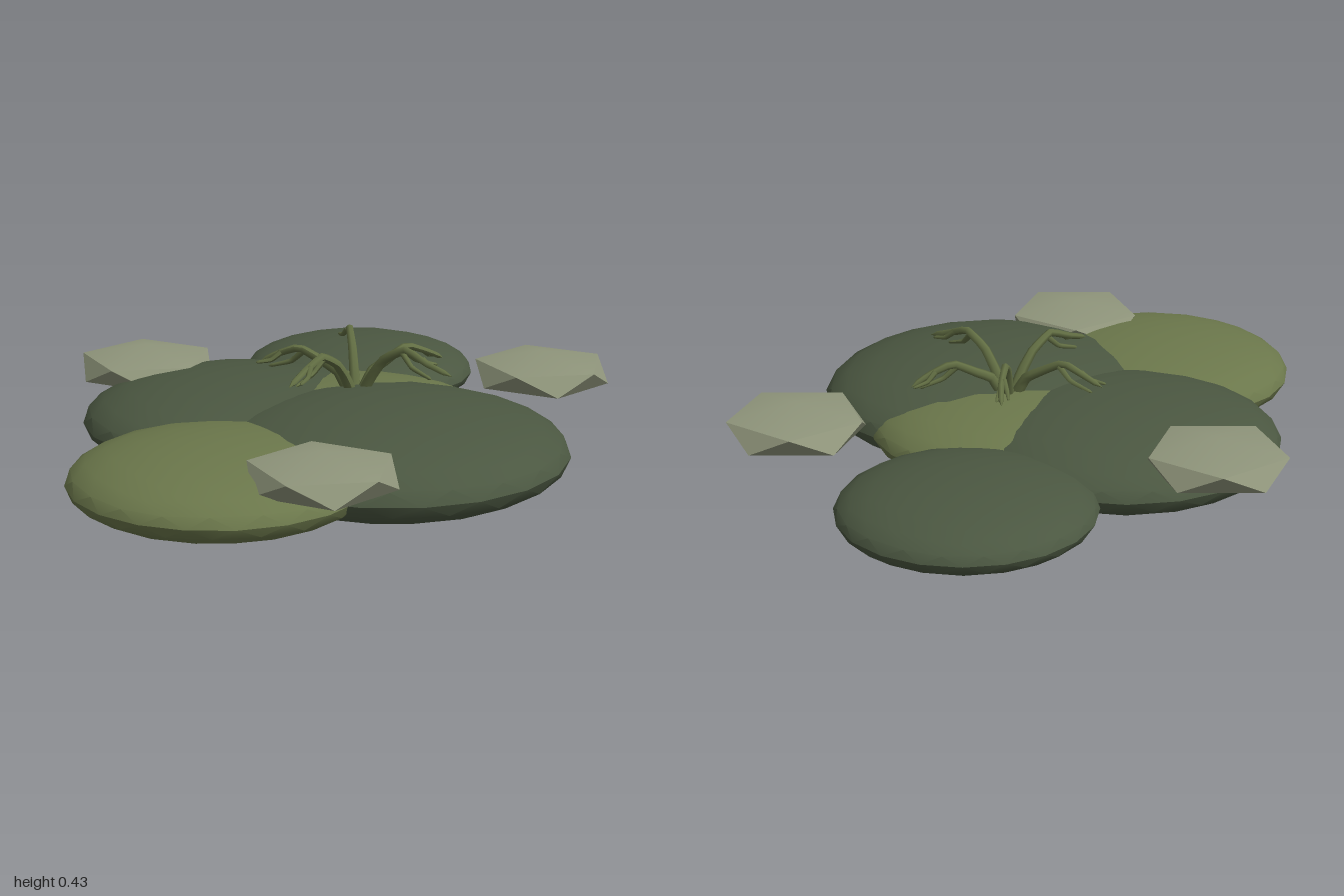
import * as THREE from 'three';
import { toCreasedNormals } from 'three/addons/utils/BufferGeometryUtils.js';

const darkMoss = new THREE.MeshStandardMaterial({ color: 0x4b5741 });
const oliveMoss = new THREE.MeshStandardMaterial({ color: 0x6b774b });
const paleLichen = new THREE.MeshStandardMaterial({ color: 0x8f957b });
const stemGreen = new THREE.MeshStandardMaterial({ color: 0x626e43 });

// Flattened icosphere with one corner pointing straight up
function cushion(name, material, [x, y, z], radius, height, detail) {
  const ball = new THREE.IcosahedronGeometry(1, detail);
  ball.rotateZ(-Math.atan2(2, 1 + Math.sqrt(5)));
  ball.scale(radius, height, radius);
  const mesh = new THREE.Mesh(toCreasedNormals(ball, Math.PI / 6), material);
  mesh.name = name;
  mesh.position.set(x, y, z);
  return mesh;
}

// Tube along a kinked path, narrowing to a blunt, closed tip
function taperedTube(points, radius) {
  const path = new THREE.CatmullRomCurve3(points, false, 'catmullrom', 0.15);
  const rings = 14, sides = 6;
  const tube = new THREE.TubeGeometry(path, rings, radius, sides);
  const pos = tube.attributes.position;
  const v = new THREE.Vector3();
  for (let i = 0; i <= rings; i++) {
    const centre = path.getPointAt(i / rings);
    const width = i === rings ? 0 : 1 - 0.55 * (i / rings);
    for (let j = 0; j <= sides; j++) {
      const k = i * (sides + 1) + j;
      v.fromBufferAttribute(pos, k).sub(centre).multiplyScalar(width).add(centre);
      pos.setXYZ(k, v.x, v.y, v.z);
    }
  }
  tube.computeVertexNormals();
  return tube;
}

export function createModel() {
  const model = new THREE.Group();
  model.name = 'mossPatch';

  // Overlapping moss cushions
  model.add(
    cushion('frontCushion', darkMoss, [0.04, 0.155, 0.34], 0.565, 0.147, 3),
    cushion('backRightCushion', darkMoss, [-0.22, 0.155, -0.18], 0.51, 0.133, 3),
    cushion('backLeftCushion', darkMoss, [0.395, 0.153, -0.535], 0.395, 0.104, 3),
    cushion('rightCushion', oliveMoss, [-0.54, 0.153, 0.37], 0.46, 0.12, 3),
    cushion('middleCushion', oliveMoss, [0.08, 0.155, 0.05], 0.45, 0.12, 3),
  );

  // Pale lichen caps resting on the rim
  for (const [x, z] of [[0.775, 0.055], [-0.37, -0.61], [-0.37, 0.71]]) {
    model.add(cushion('lichenCap', paleLichen, [x, 0.24, z], 0.248, 0.072, 0));
  }

  // Drooping stems: tip x, tip z, peak height
  const arms = [
    [-0.16, -0.17, 0.39], [0.21, -0.29, 0.42], [0.41, 0.03, 0.385],
    [0.25, 0.37, 0.425], [-0.24, 0.22, 0.415],
  ];
  const cx = 0.08, cz = 0.05;
  for (const [tx, tz, peak] of arms) {
    const stem = new THREE.Group();
    stem.name = 'stem';
    const length = Math.hypot(tx - cx, tz - cz);
    const ox = (tx - cx) / length, oz = (tz - cz) / length;
    // Point at a distance out, height and sideways offset
    const at = (out, y, side = 0) =>
      new THREE.Vector3(cx + ox * out - oz * side, y, cz + oz * out + ox * side);

    const parts = [
      ['stalk', 0.019, [at(0.02, 0.25), at(0.06, 0.32), at(0.11, peak - 0.04),
        at(0.19, peak), at(0.27, peak - 0.03, 0.008), at(length, peak - 0.06)]],
      ['lowerTwig', 0.011, [at(0.17, peak - 0.005), at(0.22, peak - 0.05, 0.012),
        at(0.3, peak - 0.075, 0.02)]],
      ['sideTwig', 0.01, [at(0.25, peak - 0.02), at(0.28, peak - 0.045, -0.012),
        at(0.33, peak - 0.055, -0.02)]],
    ];
    for (const [name, radius, points] of parts) {
      const mesh = new THREE.Mesh(taperedTube(points, radius), stemGreen);
      mesh.name = name;
      stem.add(mesh);
    }
    model.add(stem);
  }
  return model;
}
